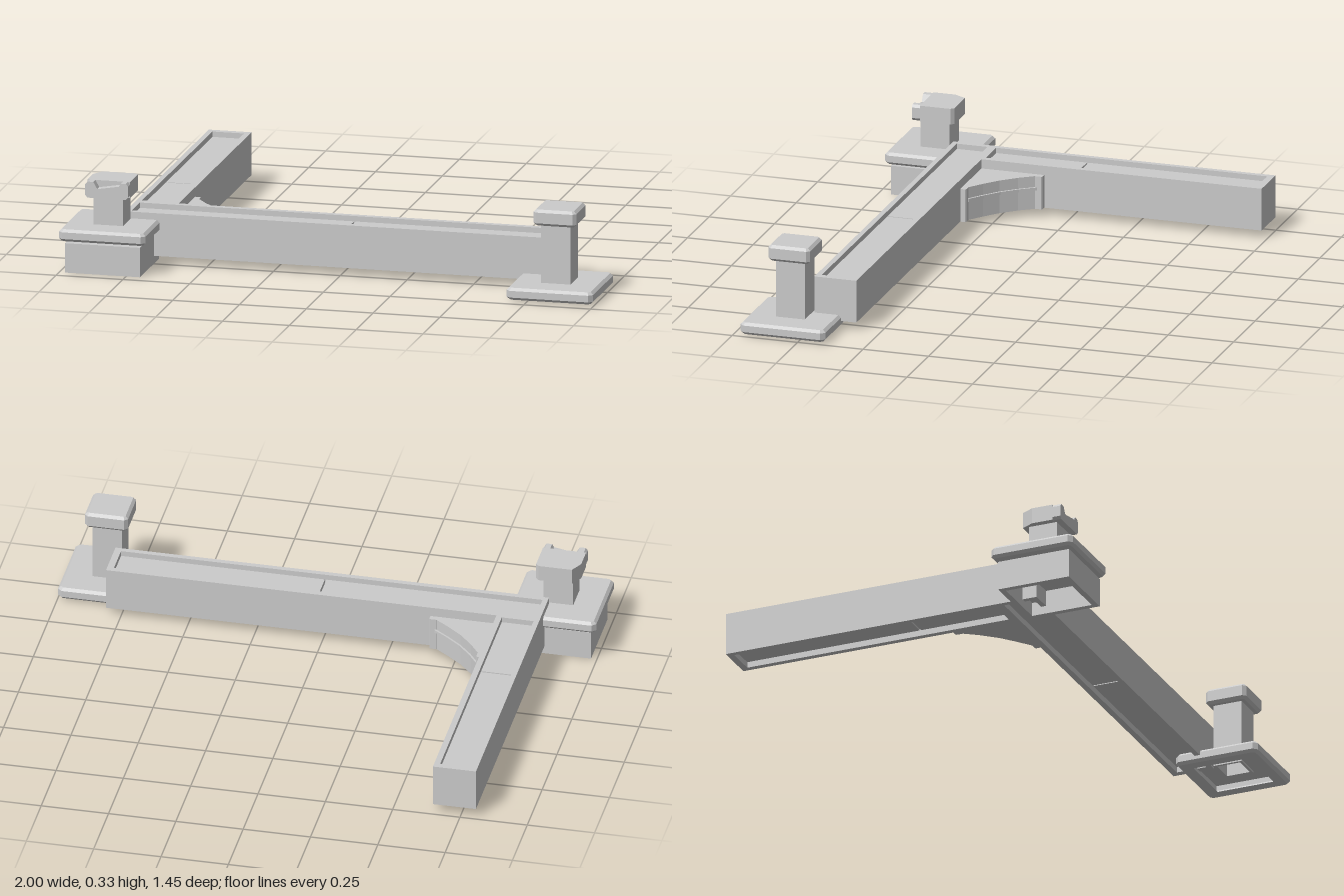
import * as THREE from 'three';

const material = new THREE.MeshStandardMaterial({ color: 0xcccccc, flatShading: true, side: THREE.DoubleSide });

function add(group, name, geometry) {
  const mesh = new THREE.Mesh(geometry, material);
  mesh.name = name;
  group.add(mesh);
  return mesh;
}

// Rectangle in plan (x, z) with optionally cut corners
function rect([x0, x1, z0, z1], c = 0) {
  const p = c
    ? [[x0 + c, z0], [x1 - c, z0], [x1, z0 + c], [x1, z1 - c], [x1 - c, z1], [x0 + c, z1], [x0, z1 - c], [x0, z0 + c]]
    : [[x0, z0], [x1, z0], [x1, z1], [x0, z1]];
  return p.map(([x, z]) => new THREE.Vector2(x, -z));
}

// Extrudes a plan outline from y0 up to y1, with optional hole and chamfer
function prism(points, y0, y1, hole, b = 0) {
  const shape = new THREE.Shape(points);
  if (hole) shape.holes.push(new THREE.Path(rect(hole)));
  return new THREE.ExtrudeGeometry(shape, {
    depth: y1 - y0 - 2 * b, bevelEnabled: b > 0, bevelSegments: 1,
    bevelSize: b, bevelThickness: b, bevelOffset: -b,
  }).rotateX(-Math.PI / 2).translate(0, y0 + b, 0);
}

const square = (x, z, r) => [x - r, x + r, z - r, z + r];

// Box beam recessed above and below, with its web split in two panels
function beam(name, outer, inner, splitAxis, split) {
  const g = new THREE.Group();
  g.name = name;
  add(g, name + 'Frame', prism(rect(outer), 0.03, 0.19, inner));
  const a = [...inner], b = [...inner];
  a[splitAxis * 2 + 1] = split - 0.003;
  b[splitAxis * 2] = split + 0.003;
  for (const panel of [a, b]) add(g, name + 'Panel', prism(rect(panel), 0.052, 0.17));
  return g;
}

export function createModel() {
  const model = new THREE.Group();
  model.name = 'railingCorner';

  // Long and side beams
  model.add(beam('longBeam', [-0.805, 0.805, 0.34, 0.5], [-0.785, 0.78, 0.363, 0.48], 0, 0.02));
  model.add(beam('sideBeam', [-0.805, -0.645, -0.73, 0.345], [-0.785, -0.667, -0.705, 0.33], 1, -0.02));

  const z = 0.563;

  // Left-hand post standing on a low flat base, hollow underneath
  const px = 0.837;
  const lowPost = new THREE.Group();
  lowPost.name = 'lowPost';
  add(lowPost, 'lowPostShaft', prism(rect(square(px, z, 0.055)), 0.03, 0.29, square(px, z, 0.045)));
  add(lowPost, 'lowPostCap', prism(rect(square(px, z, 0.08), 0.012), 0.27, 0.33, null, 0.01));
  add(lowPost, 'lowPostBase', prism(rect(square(px, z - 0.002, 0.162), 0.015), 0.007, 0.052, square(px, z, 0.12), 0.01));
  add(lowPost, 'lowPostBaseTop', prism(rect(square(px, z, 0.13)), 0.036, 0.052, square(px, z, 0.045)));
  model.add(lowPost);

  // Corner post on a hollow box plinth with a flange above it
  const qx = -0.838;
  const cornerPost = new THREE.Group();
  cornerPost.name = 'cornerPost';
  add(cornerPost, 'cornerPostShaft', prism(rect(square(qx, z, 0.055)), 0.09, 0.29, square(qx, z, 0.045)));
  add(cornerPost, 'cornerPostFlange', prism(rect(square(qx, z - 0.002, 0.162), 0.015), 0.12, 0.165, square(qx, z, 0.045), 0.01));
  add(cornerPost, 'plinthWalls', prism(rect(square(qx, z, 0.14)), 0, 0.11, square(qx, z, 0.118)));
  add(cornerPost, 'plinthTop', prism(rect(square(qx, z, 0.12)), 0.09, 0.11, square(qx, z, 0.045)));

  // Chipped cap: back block with a cut corner, front strip with a notch
  const back = [[-0.918, 0.53], [-0.893, 0.484], [-0.77, 0.484], [-0.758, 0.496], [-0.758, 0.612], [-0.918, 0.612]];
  add(cornerPost, 'chippedCapBack', prism(back.map(([x, d]) => new THREE.Vector2(x, -d)), 0.27, 0.33));
  const front = [[-0.91, 0.27], [-0.766, 0.27], [-0.758, 0.28], [-0.758, 0.32], [-0.766, 0.33],
    [-0.785, 0.33], [-0.792, 0.318], [-0.873, 0.304], [-0.888, 0.33], [-0.91, 0.33], [-0.918, 0.32], [-0.918, 0.28]];
  add(cornerPost, 'chippedCapFront', new THREE.ExtrudeGeometry(
    new THREE.Shape(front.map((p) => new THREE.Vector2(...p))), { depth: 0.033, bevelEnabled: false }).translate(0, 0, 0.61));
  model.add(cornerPost);

  // Curved brace in the inner corner, with a raised middle rib and end lips
  const brace = new THREE.Group();
  brace.name = 'cornerBrace';
  const curve = [[-0.625, 0.125], [-0.585, 0.18], [-0.535, 0.235], [-0.48, 0.28], [-0.425, 0.32]];
  const outline = (o) => [[-0.65, 0.345], [-0.65, 0.125 - o], ...curve.map(([x, d]) => [x + o, d - o]), [-0.425 + o, 0.345]]
    .map(([x, d]) => new THREE.Vector2(x, -d));
  add(brace, 'braceLower', prism(outline(0), 0.03, 0.102));
  add(brace, 'braceUpper', prism(outline(0), 0.113, 0.155));
  add(brace, 'braceRib', prism(outline(0.005), 0.102, 0.113));
  add(brace, 'braceSideLip', prism(rect([-0.65, -0.622, 0.1, 0.13], 0.004), 0.03, 0.155));
  add(brace, 'braceLongLip', prism(rect([-0.43, -0.4, 0.318, 0.345], 0.004), 0.03, 0.155));
  model.add(brace);

  return model;
}
